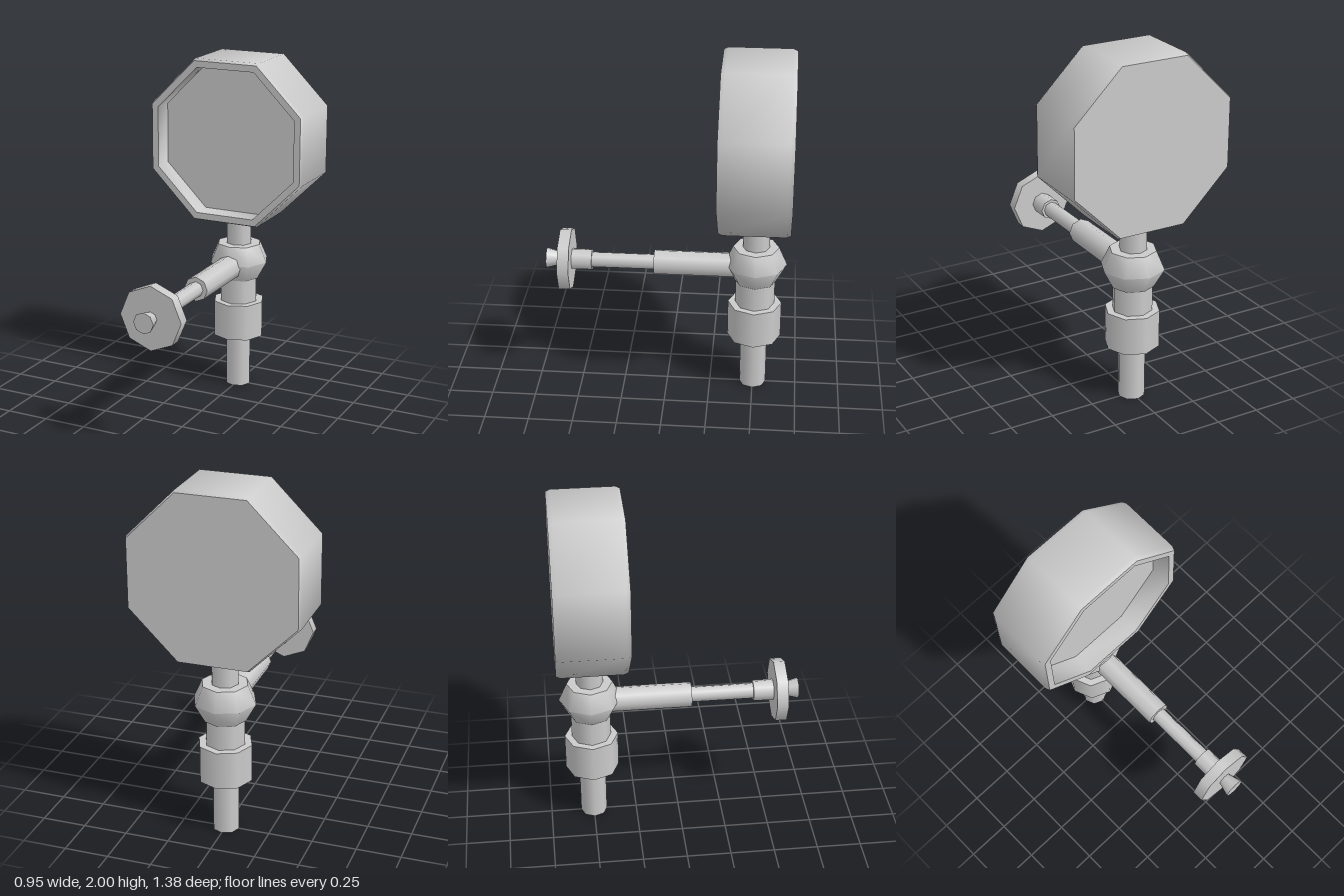
import * as THREE from 'three';
import { toCreasedNormals } from 'three/addons/utils/BufferGeometryUtils.js';

const SIDES = 8;
const STEM_Z = -0.5; // axis of the upright pipe
const ARM_Y = 0.77; // axis of the valve arm

export function createModel() {
  const group = new THREE.Group();
  const material = new THREE.MeshStandardMaterial({ color: 0xcccccc });

  const add = (name, geometry, x, y, z) => {
    const mesh = new THREE.Mesh(geometry, material);
    mesh.name = name;
    mesh.position.set(x, y, z);
    group.add(mesh);
  };

  // Eight-sided turned shape, smooth round its axis and sharp at its rims
  const turned = (profile, phiStart, crease) => {
    const points = profile.map(([r, h]) => new THREE.Vector2(r, h));
    return toCreasedNormals(new THREE.LatheGeometry(points, SIDES, phiStart), crease);
  };

  // Upright pipe section between two heights
  const pipe = (name, r, y0, y1) =>
    add(name, new THREE.CylinderGeometry(r, r, y1 - y0, SIDES), 0, (y0 + y1) / 2, STEM_Z);

  // Arm section along z, rBack at z0 and rFront at z1
  const arm = (name, rBack, rFront, z0, z1) =>
    add(name, new THREE.CylinderGeometry(rFront, rBack, z1 - z0, SIDES).rotateX(Math.PI / 2),
      0, ARM_Y, (z0 + z1) / 2);

  // Upright pipe
  pipe('inletPipe', 0.076, 0, 0.33);
  pipe('nut', 0.153, 0.32, 0.535);
  pipe('collar', 0.112, 0.53, 0.69);
  pipe('gaugeNeck', 0.076, 0.88, 1.08);

  // Bulging junction where the arm meets the pipe
  add('junction', turned([[0, 0.68], [0.12, 0.68], [0.177, 0.785], [0.13, 0.89], [0, 0.89]], 0, 1.05),
    0, 0, STEM_Z);

  // Valve arm with handwheel
  arm('armSleeve', 0.072, 0.072, -0.45, 0.075);
  arm('armRod', 0.045, 0.045, 0.07, 0.44);
  arm('wheelHub', 0.061, 0.061, 0.43, 0.55);
  arm('handwheel', 0.183, 0.183, 0.545, 0.61);
  arm('wheelKnob', 0.037, 0.06, 0.605, 0.69);

  // Gauge housing: bevelled drum with a recessed dial
  const housing = turned([
    [0, -0.69], [0.501, -0.69], [0.512, -0.665], [0.512, -0.315], [0.501, -0.29],
    [0.46, -0.29], [0.46, -0.41], [0, -0.41],
  ], Math.PI / 8, 0.9);
  add('gaugeHousing', housing.rotateX(Math.PI / 2), 0, 1.527, 0);

  return group;
}
